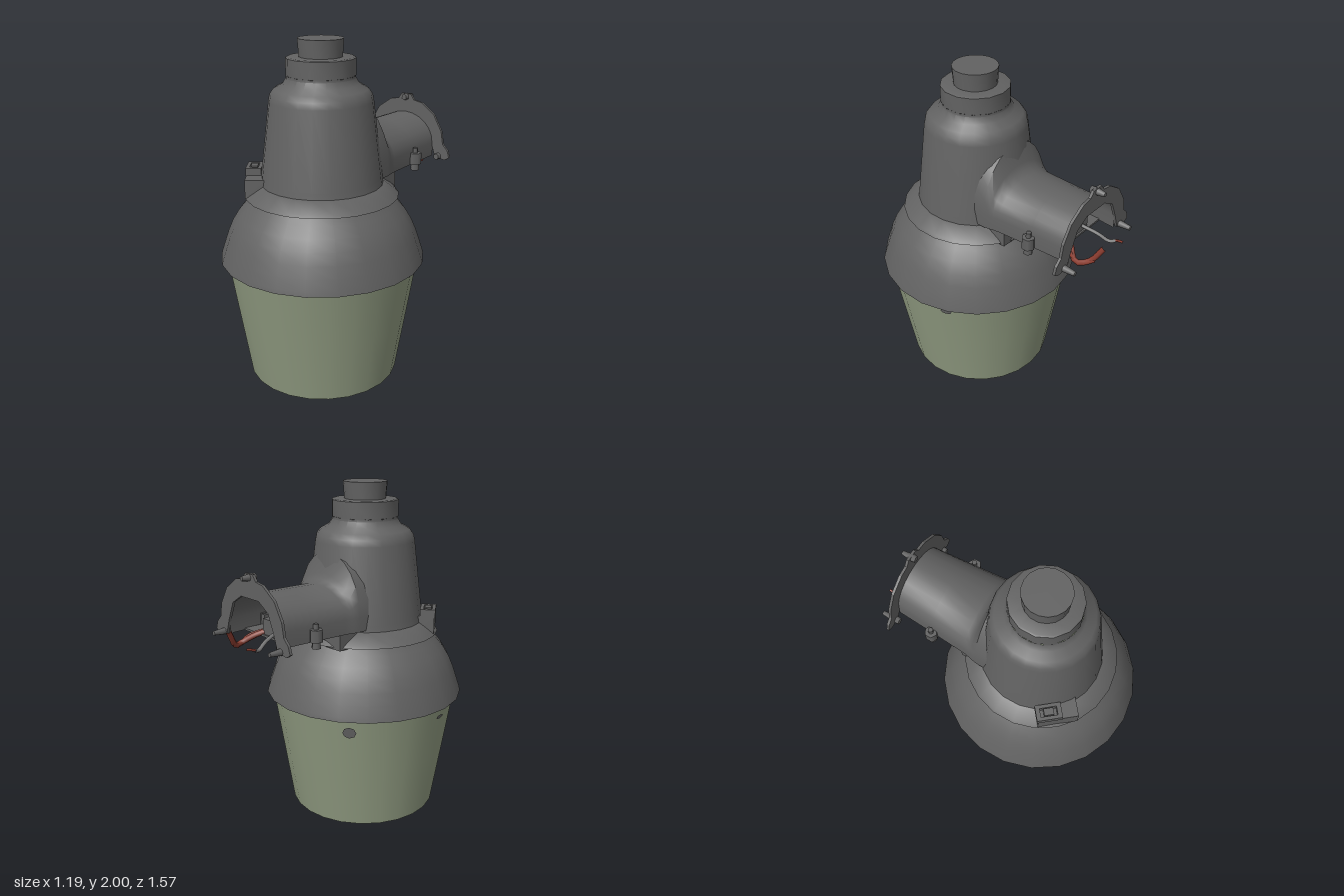
import * as THREE from 'three';
import { toCreasedNormals } from 'three/addons/utils/BufferGeometryUtils.js';

const AXIS_Z = 0.175; // the lamp's vertical axis sits forward of the bracket

export function createModel() {
  const model = new THREE.Group();
  model.name = 'yardLamp';
  const mat = (name, color, side = THREE.FrontSide) => {
    const m = new THREE.MeshStandardMaterial({ color, side });
    m.name = name;
    return m;
  };
  const housing = mat('grey housing', 0x626262, THREE.DoubleSide);
  const glass = mat('green glass', 0x8f9a80, THREE.DoubleSide);
  const redWire = mat('red wire', 0x8c3d30);
  const greyWire = mat('grey wire', 0x7c7c7c);

  const add = (name, geo, material, x = 0, y = 0, z = 0, parent = model) => {
    const mesh = new THREE.Mesh(geo, material);
    mesh.name = name;
    mesh.position.set(x, y, z);
    parent.add(mesh);
    return mesh;
  };
  const turned = (name, points, material, sides = 22) => {
    const geo = new THREE.LatheGeometry(points.map(p => new THREE.Vector2(...p)), sides);
    return add(name, toCreasedNormals(geo, 0.6), material, 0, 0, AXIS_Z);
  };

  // Lamp body, bottom to top
  turned('glassRefractor', [[0, 0.005], [0.45, 0.005], [0.51, 0.38], [0.566, 0.735]], glass, 24);
  turned('shade', [[0.55, 0.735], [0.603, 0.73], [0.597, 0.755], [0.575, 0.82], [0.553, 0.885],
    [0.525, 0.95], [0.488, 1.01], [0.443, 1.065], [0.395, 1.115]], housing);
  turned('skirtRing', [[0.38, 1.108], [0.448, 1.112], [0.435, 1.125], [0.36, 1.183], [0.34, 1.185]], housing);
  turned('upperHousing', [[0.358, 1.17], [0.35, 1.22], [0.296, 1.66], [0.288, 1.695], [0.265, 1.725],
    [0.215, 1.752], [0.195, 1.785], [0.195, 1.8]], housing);
  turned('socketCollar', [[0.18, 1.78], [0.197, 1.8], [0.197, 1.895], [0.187, 1.9], [0.1, 1.9]], housing, 14);
  turned('photocell', [[0.122, 1.89], [0.13, 2], [0, 2]], housing, 18);

  // Small grey patches showing on the glass
  [[-0.34, 0.65, -0.255, 0.04, 0.036], [-0.553, 0.665, 0.27, 0.035, 0.012], [0.51, 0.69, -0.03, 0.035, 0.02]]
    .forEach(([x, y, z, rx, ry]) => {
      const r = 0.457 + (y - 0.005) * 0.1595;
      const a = Math.atan2(x, z - AXIS_Z);
      const patch = add('glassPatch', new THREE.CircleGeometry(1, 8), housing,
        Math.sin(a) * r, y, AXIS_Z + Math.cos(a) * r);
      patch.scale.set(rx, ry, 1);
      patch.rotation.set(0.157, a, 0, 'YXZ');
    });

  // Mounting arm: an arched tunnel lofted from the housing to the flange
  const loops = [ // z, half width, top
    [0.02, 0.265, 1.66], [-0.11, 0.262, 1.62], [-0.145, 0.255, 1.5], [-0.165, 0.25, 1.465],
    [-0.2, 0.243, 1.445], [-0.42, 0.226, 1.45], [-0.66, 0.21, 1.455]];
  const steps = 14;
  const verts = [], faces = [];
  loops.forEach(([z, w, top], i) => {
    for (let j = 0; j <= steps; j++) {
      const t = Math.PI * (j - 1) / (steps - 2);
      const wall = j === 0 || j === steps;
      const x = wall ? (j ? -w : w) : Math.cos(t) * w;
      const y = wall ? 1.195 : 1.28 + Math.sin(t) * (top - 1.28);
      verts.push(x, y, z);
      if (i && j) {
        const b = i * (steps + 1) + j, a = b - steps - 1;
        faces.push(a - 1, a, b - 1, a, b, b - 1);
      }
    }
  });
  const armGeo = new THREE.BufferGeometry();
  armGeo.setAttribute('position', new THREE.Float32BufferAttribute(verts, 3));
  armGeo.setIndex(faces);
  armGeo.computeVertexNormals();
  add('mountingArm', toCreasedNormals(armGeo, 0.7), housing);
  add('armFloor', new THREE.BoxGeometry(0.43, 0.012, 0.4), housing, 0, 1.2, -0.36);
  add('armFoot', new THREE.BoxGeometry(0.46, 0.1, 0.18), housing, 0, 1.15, -0.14);
  add('terminalBlock', new THREE.BoxGeometry(0.16, 0.09, 0.1), housing, -0.03, 1.25, -0.5);

  // Arched wall flange with a top boss and two feet
  const right = [[0.34, 1.2], [0.325, 1.245], [0.29, 1.28], [0.275, 1.36], [0.215, 1.46],
    [0.12, 1.525], [0.06, 1.535], [0.035, 1.57]];
  const inner = [[-0.235, 1.19], [-0.205, 1.28], [-0.16, 1.385], [-0.08, 1.435], [0.08, 1.435],
    [0.16, 1.385], [0.205, 1.28], [0.235, 1.19], [0.31, 1.18]];
  const outline = [...right, ...right.slice().reverse().map(([x, y]) => [-x, y]), [-0.31, 1.18], ...inner];
  const flange = new THREE.Shape(outline.map(p => new THREE.Vector2(...p)));
  add('wallFlange', new THREE.ExtrudeGeometry(flange, { depth: 0.016, bevelEnabled: false }), housing, 0, 0, -0.668);

  // Flange studs
  [[0, 1.55, -0.715], [-0.26, 1.2, -0.74], [0.26, 1.2, -0.74]].forEach(([x, y, end]) => {
    const stud = new THREE.Group();
    stud.name = 'flangeStud';
    stud.position.set(x, y, 0);
    model.add(stud);
    const length = -0.66 - end;
    const pin = add('pin', new THREE.CylinderGeometry(0.021, 0.013, length, 8), housing, 0, 0, -0.66 - length / 2, stud);
    pin.rotation.x = Math.PI / 2;
    const head = add('head', new THREE.CylinderGeometry(0.02, 0.024, 0.035, 6), housing, 0, 0, -0.645, stud);
    head.rotation.x = Math.PI / 2;
  });

  // Clamp bolts on both sides of the arm
  for (const s of [-1, 1]) {
    const clamp = new THREE.Group();
    clamp.name = 'clampBolt';
    clamp.position.set(s * 0.245, 0, -0.415);
    model.add(clamp);
    add('lug', new THREE.CylinderGeometry(0.038, 0.038, 0.07, 6), housing, 0, 1.235, 0, clamp);
    add('lugWeb', new THREE.BoxGeometry(0.06, 0.06, 0.045), housing, -s * 0.025, 1.235, 0, clamp);
    add('shank', new THREE.CylinderGeometry(0.015, 0.015, 0.13, 8), housing, 0, 1.235, 0, clamp);
    add('boltHead', new THREE.CylinderGeometry(0.024, 0.027, 0.035, 6), housing, 0, 1.18, 0, clamp);
  }

  // Latch on the skirt, set tangent to the housing
  const latch = new THREE.Group();
  latch.name = 'latch';
  latch.position.set(-0.305, 0, 0.42);
  latch.rotation.y = Math.atan2(-0.305, 0.245);
  model.add(latch);
  add('boss', new THREE.BoxGeometry(0.23, 0.11, 0.12), housing, 0.02, 1.17, -0.02, latch);
  for (const s of [-1, 1]) {
    add('latchRail', new THREE.BoxGeometry(0.14, 0.045, 0.02), housing, -0.03, 1.245, s * 0.035, latch);
    add('latchEnd', new THREE.BoxGeometry(0.025, 0.045, 0.09), housing, -0.03 + s * 0.06, 1.245, 0, latch);
  }
  add('latchKnob', new THREE.BoxGeometry(0.055, 0.04, 0.04), housing, -0.03, 1.25, 0, latch);

  // Loose wires hanging out of the arm
  const wire = (name, points, radius, material) => {
    const curve = new THREE.CatmullRomCurve3(points.map(p => new THREE.Vector3(...p)));
    add(name, new THREE.TubeGeometry(curve, 14, radius, 6), material);
  };
  wire('redWire', [[0.0, 1.24, -0.48], [0.08, 1.2, -0.58], [0.13, 1.155, -0.65], [0.09, 1.165, -0.71], [0.055, 1.265, -0.775]], 0.016, redWire);
  wire('thinRedWire', [[0.05, 1.23, -0.5], [0.12, 1.19, -0.6], [0.12, 1.15, -0.67], [0.08, 1.18, -0.74]], 0.011, redWire);
  wire('greyWire', [[-0.05, 1.25, -0.5], [-0.09, 1.21, -0.64], [-0.11, 1.18, -0.7], [-0.125, 1.19, -0.735]], 0.011, greyWire);
  wire('redWireTip', [[-0.125, 1.19, -0.73], [-0.123, 1.2, -0.76], [-0.12, 1.205, -0.785]], 0.007, redWire);

  return model;
}
